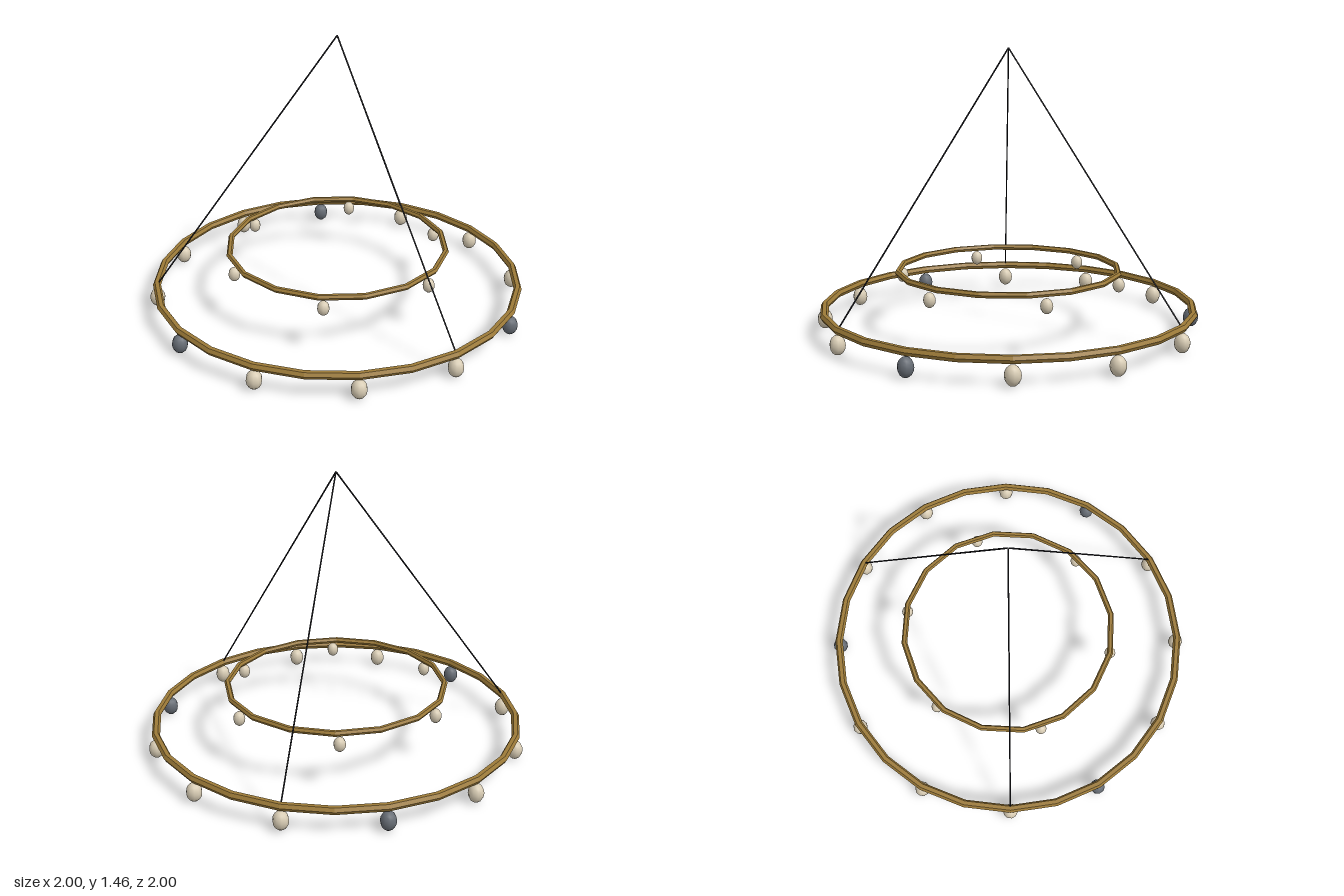
import * as THREE from 'three';

const brass = new THREE.MeshStandardMaterial({ name: 'brass', color: 0x9c7a38 });
const cream = new THREE.MeshStandardMaterial({ name: 'cream glass', color: 0xd8ccb4 });
const smoke = new THREE.MeshStandardMaterial({ name: 'smoked glass', color: 0x666c74 });
const black = new THREE.MeshStandardMaterial({ name: 'black cable', color: 0x1c1c22 });
brass.flatShading = true;

export function createModel() {
  const model = new THREE.Group();
  model.name = 'ringChandelier';

  const add = (name, geometry, material, parent = model) => {
    const mesh = new THREE.Mesh(geometry, material);
    mesh.name = name;
    parent.add(mesh);
    return mesh;
  };

  // One tier: a faceted hoop with egg-shaped bulbs below it
  const addTier = ({ name, radius, tube, segments, y, bulbs, bulbRadius, bulbY, offset, isSmoked }) => {
    const tier = new THREE.Group();
    tier.name = name;
    model.add(tier);
    const hoop = new THREE.TorusGeometry(radius, tube, 6, segments).rotateX(-Math.PI / 2);
    add(name + 'Hoop', hoop, brass, tier).position.y = y;

    const bulb = new THREE.SphereGeometry(bulbRadius, 10, 8).scale(1, 1.25, 1);
    for (let i = 0; i < bulbs; i++) {
      const a = offset + (i / bulbs) * Math.PI * 2;
      add(name + 'Bulb', bulb, isSmoked(i) ? smoke : cream, tier)
        .position.set(Math.cos(a) * radius, bulbY, Math.sin(a) * radius);
    }
  };

  addTier({
    name: 'outerTier', radius: 0.96, tube: 0.021, segments: 24, y: 0.125,
    bulbs: 12, bulbRadius: 0.04, bulbY: 0.052, offset: 0, isSmoked: (i) => i % 4 === 3,
  });
  addTier({
    name: 'innerTier', radius: 0.576, tube: 0.016, segments: 16, y: 0.315,
    bulbs: 6, bulbRadius: 0.031, bulbY: 0.257, offset: -0.3, isSmoked: () => false,
  });

  // Three cables from the outer hoop up to the hanging point
  const apex = new THREE.Vector3(0, 1.46, 0);
  for (let i = 0; i < 3; i++) {
    const a = (i / 3) * Math.PI * 2;
    const foot = new THREE.Vector3(Math.cos(a) * 0.95, 0.138, Math.sin(a) * 0.95);
    const path = new THREE.LineCurve3(foot, apex);
    add('cable', new THREE.TubeGeometry(path, 1, 0.004, 6), black);
  }
  return model;
}
